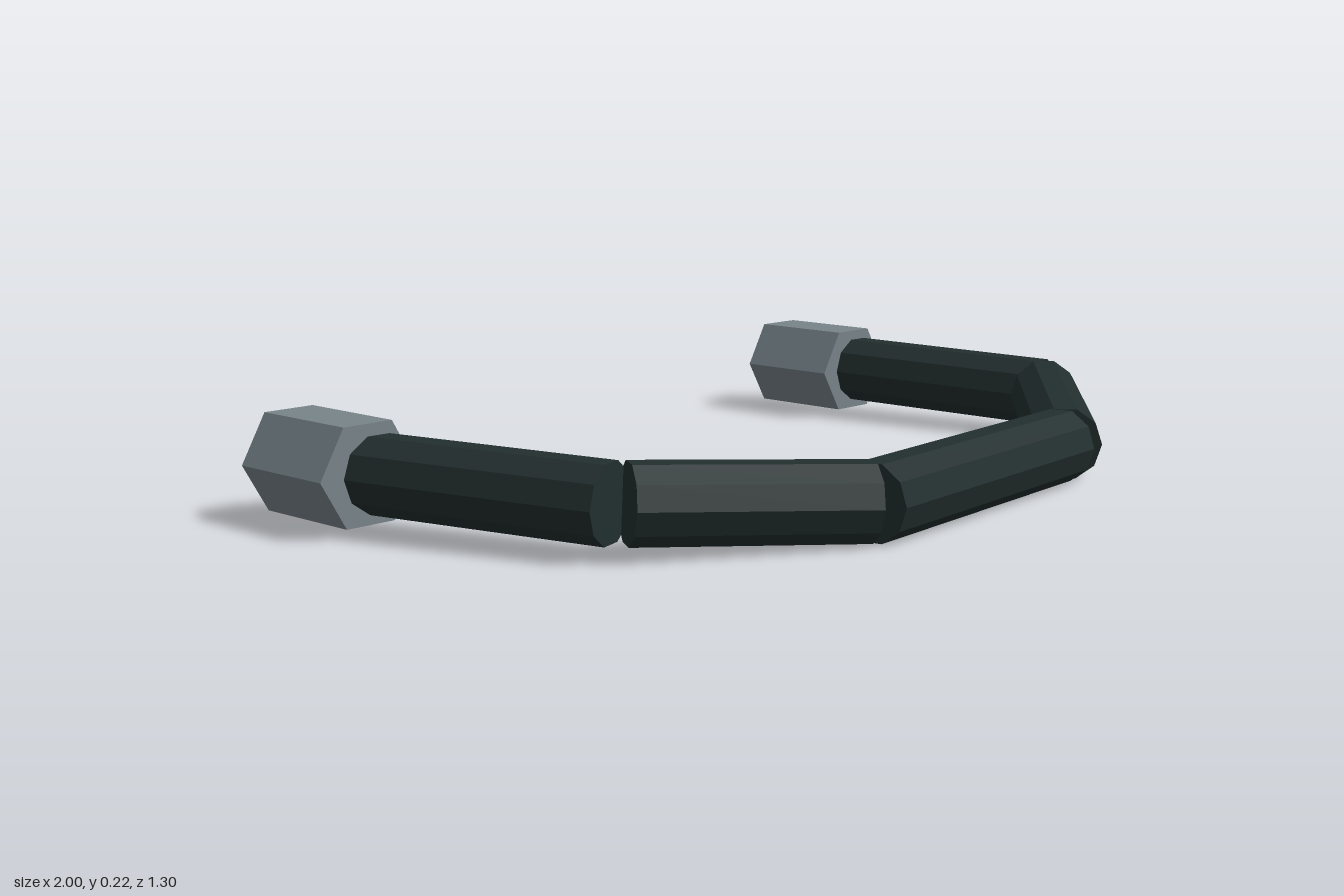
import * as THREE from 'three';

const hoseMat = new THREE.MeshStandardMaterial({ color: 0x222e2e, flatShading: true });
hoseMat.name = 'dark hose';
const metalMat = new THREE.MeshStandardMaterial({ color: 0x78848a, flatShading: true });
metalMat.name = 'grey metal';

// Prism from a to b with a corner pointing sideways and a flat face on top
function prism(name, a, b, radius, sides, material) {
  const start = new THREE.Vector3(...a), end = new THREE.Vector3(...b);
  const dir = end.clone().sub(start);
  const geometry = new THREE.CylinderGeometry(radius, radius, dir.length(), sides);
  dir.normalize();
  const side = new THREE.Vector3(0, 1, 0).cross(dir).normalize();
  const up = dir.clone().cross(side);
  geometry.applyMatrix4(new THREE.Matrix4().makeBasis(up, dir, side));
  const mesh = new THREE.Mesh(geometry, material);
  mesh.name = name;
  mesh.position.copy(start.add(end).multiplyScalar(0.5));
  return mesh;
}

export function createModel() {
  const group = new THREE.Group();
  group.name = 'hose';

  // Straight hose sections, overlapping at the bends
  const sections = [
    [[-0.895, 0.12, -0.31], [-0.705, 0.105, 0.29]],
    [[-0.685, 0.105, 0.312], [-0.275, 0.08, 0.56]],
    [[-0.282, 0.079, 0.565], [0.468, 0.079, 0.495]],
    [[0.475, 0.08, 0.5], [0.917, 0.105, 0.138]],
    [[0.918, 0.105, 0.135], [0.82, 0.122, -0.5]],
  ];
  sections.forEach(([a, b], i) =>
    group.add(prism('hoseSection' + (i + 1), a, b, 0.082, 10, hoseMat)));

  // Hexagonal end fittings
  for (const [name, x, z] of [['rightFitting', -0.885, -0.2], ['leftFitting', 0.82, -0.39]]) {
    group.add(prism(name, [x, 0.12, z], [x, 0.12, z - 0.26], 0.116, 6, metalMat));
  }
  return group;
}
